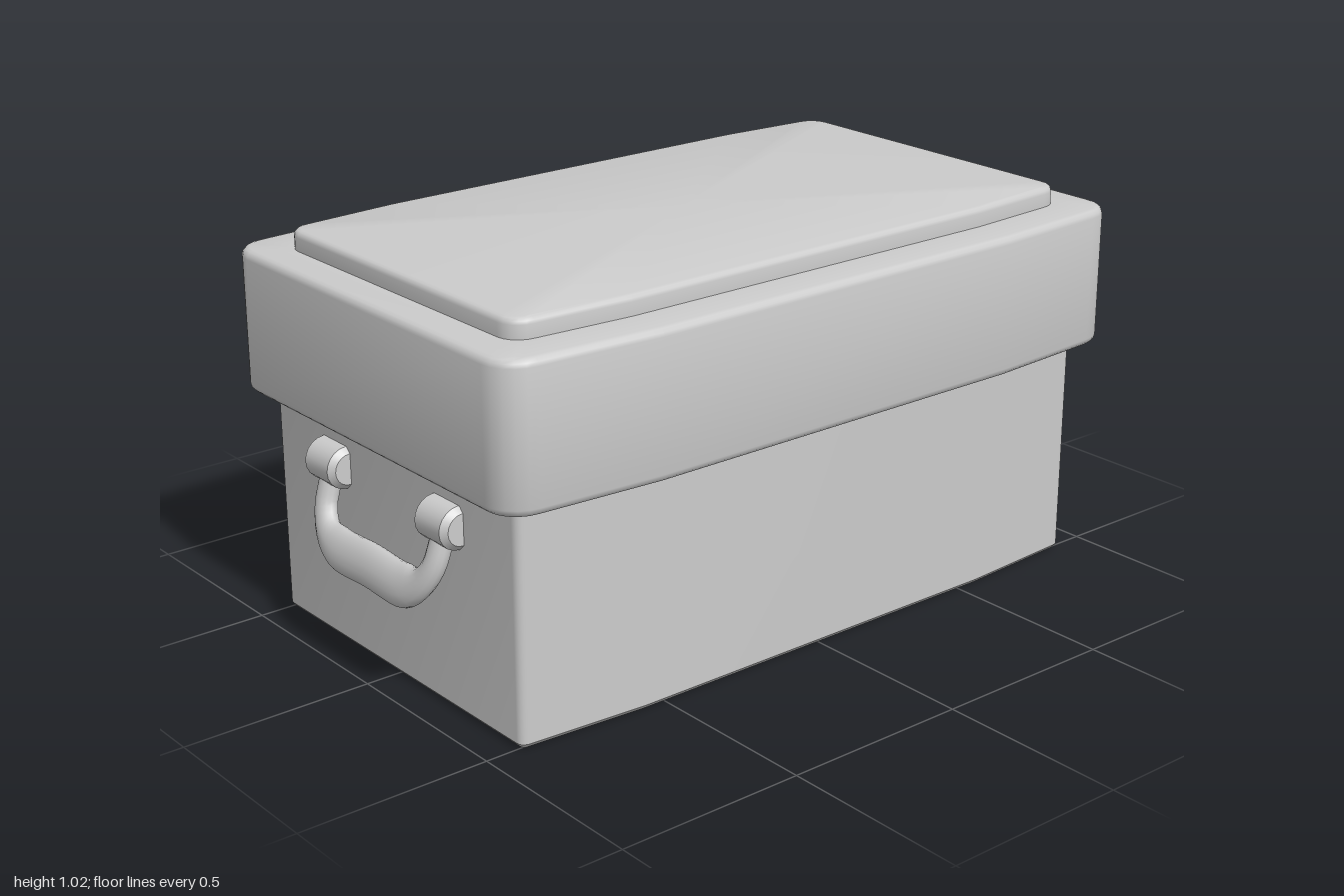
import * as THREE from 'three';
import { toCreasedNormals, mergeVertices } from 'three/addons/utils/BufferGeometryUtils.js';

const material = new THREE.MeshStandardMaterial({ color: 0xcccccc, side: THREE.DoubleSide });

// Rounded rectangle whose long sides bow out: full depth in the middle, less at the ends
function ring({ hx, mid, end, r }, y, inset = 0) {
  const quadrant = [];
  const radius = Math.max(r - inset, 0.005);
  const steps = 5;
  for (let i = 0; i <= steps; i++) {
    const a = (i / steps) * Math.PI / 2;
    quadrant.push([
      hx - inset - radius + radius * Math.cos(a),
      end - inset - radius + radius * Math.sin(a),
    ]);
  }
  quadrant.push([0.56, mid - inset]);
  const back = [...quadrant].reverse();
  return [
    ...quadrant,
    ...back.map(([x, z]) => [-x, z]),
    ...quadrant.map(([x, z]) => [-x, -z]),
    ...back.map(([x, z]) => [x, -z]),
  ].map(([x, z]) => [x, y, z]);
}

// Skin over a stack of rings, with an optional flat cap on the last one
function loft(rings, capped) {
  const n = rings[0].length;
  const positions = rings.flat(2);
  const index = [];
  for (let i = 0; i < rings.length - 1; i++) {
    for (let j = 0; j < n; j++) {
      const a = i * n + j, b = i * n + (j + 1) % n;
      index.push(a, a + n, b, b, a + n, b + n);
    }
  }
  if (capped) {
    const last = (rings.length - 1) * n;
    positions.push(0, rings[rings.length - 1][0][1], 0);
    for (let j = 0; j < n; j++) index.push(last + j, last + n, last + (j + 1) % n);
  }
  const geometry = new THREE.BufferGeometry();
  geometry.setAttribute('position', new THREE.Float32BufferAttribute(positions, 3));
  geometry.setIndex(index);
  return toCreasedNormals(geometry, 0.65);
}

// Quarter-round edge; rising = bottom edge, otherwise top edge
function roundedEdge(outline, y, size, rising) {
  const rings = [];
  for (let i = 0; i <= 3; i++) {
    const a = (i / 3) * Math.PI / 2;
    rings.push(rising
      ? ring(outline, y + size * (1 - Math.cos(a)), size * (1 - Math.sin(a)))
      : ring(outline, y - size * (1 - Math.sin(a)), size * (1 - Math.cos(a))));
  }
  return rings;
}

function part(name, geometry) {
  const mesh = new THREE.Mesh(geometry, material);
  mesh.name = name;
  return mesh;
}

// Round lug along z, cut flat where it meets the wall
function lugGeometry() {
  const profile = [[0, -0.065], [0.04, -0.065], [0.055, -0.05], [0.055, 0.05], [0.04, 0.065], [0, 0.065]]
    .map(([x, y]) => new THREE.Vector2(x, y));
  const geometry = new THREE.LatheGeometry(profile, 20).rotateX(Math.PI / 2);
  const p = geometry.attributes.position;
  for (let i = 0; i < p.count; i++) p.setX(i, Math.max(p.getX(i), -0.015));
  return toCreasedNormals(geometry, 0.6);
}

// U-shaped grip in the yz plane, flattened in x and broader along the bar
function gripGeometry() {
  const half = [[0.24, 0], [0.24, -0.07], [0.235, -0.11], [0.205, -0.16], [0.15, -0.187]];
  const points = [...half, [0, -0.187], ...[...half].reverse().map(([z, y]) => [-z, y])]
    .map(([z, y]) => new THREE.Vector3(0, y, z));
  const curve = new THREE.CatmullRomCurve3(points);
  const segments = 40, sides = 14;
  const geometry = new THREE.TubeGeometry(curve, segments, 1, sides);
  const p = geometry.attributes.position;
  const v = new THREE.Vector3();
  for (let i = 0; i <= segments; i++) {
    const c = curve.getPointAt(i / segments);
    const width = 0.055 - 0.023 * THREE.MathUtils.smoothstep(Math.abs(c.z), 0.14, 0.24);
    for (let j = 0; j <= sides; j++) {
      const k = i * (sides + 1) + j;
      v.fromBufferAttribute(p, k).sub(c);
      p.setXYZ(k, c.x + v.x * 0.027, c.y + v.y * width, c.z + v.z * width);
    }
  }
  geometry.deleteAttribute('uv');
  geometry.deleteAttribute('normal');
  const smooth = mergeVertices(geometry, 1e-5);
  smooth.computeVertexNormals();
  return smooth;
}

export function createModel() {
  const model = new THREE.Group();
  model.name = 'box';

  const bodyOutline = { hx: 0.91, mid: 0.537, end: 0.515, r: 0.022 };
  const lidOutline = { hx: 0.98, mid: 0.608, end: 0.585, r: 0.09 };
  const panelOutline = { hx: 0.88, mid: 0.495, end: 0.477, r: 0.06 };

  // Hollow body, open underneath
  model.add(part('body', loft([
    ring(bodyOutline, 0, 0.01),
    ring(bodyOutline, 0.012),
    ring(bodyOutline, 0.605),
  ])));

  // Overhanging lid with a raised top panel
  model.add(part('lid', loft([
    ring(bodyOutline, 0.605),
    ...roundedEdge(lidOutline, 0.605, 0.02, true),
    ...roundedEdge(lidOutline, 0.975, 0.02, false),
    ring(panelOutline, 0.975),
    ...roundedEdge(panelOutline, 1.025, 0.016, false),
  ], true)));

  // A hanging handle on each end
  const lug = lugGeometry(), grip = gripGeometry();
  for (const [name, turn] of [['leftHandle', 0], ['rightHandle', Math.PI]]) {
    const handle = new THREE.Group();
    handle.name = name;
    for (const z of [-0.24, 0.24]) {
      const mount = part('handleLug', lug);
      mount.position.set(0.913, 0.485, z);
      handle.add(mount);
    }
    const bar = part('handleGrip', grip);
    bar.position.set(0.915, 0.485, 0);
    bar.rotation.z = 0.31;
    handle.add(bar);
    handle.rotation.y = turn;
    model.add(handle);
  }
  return model;
}
